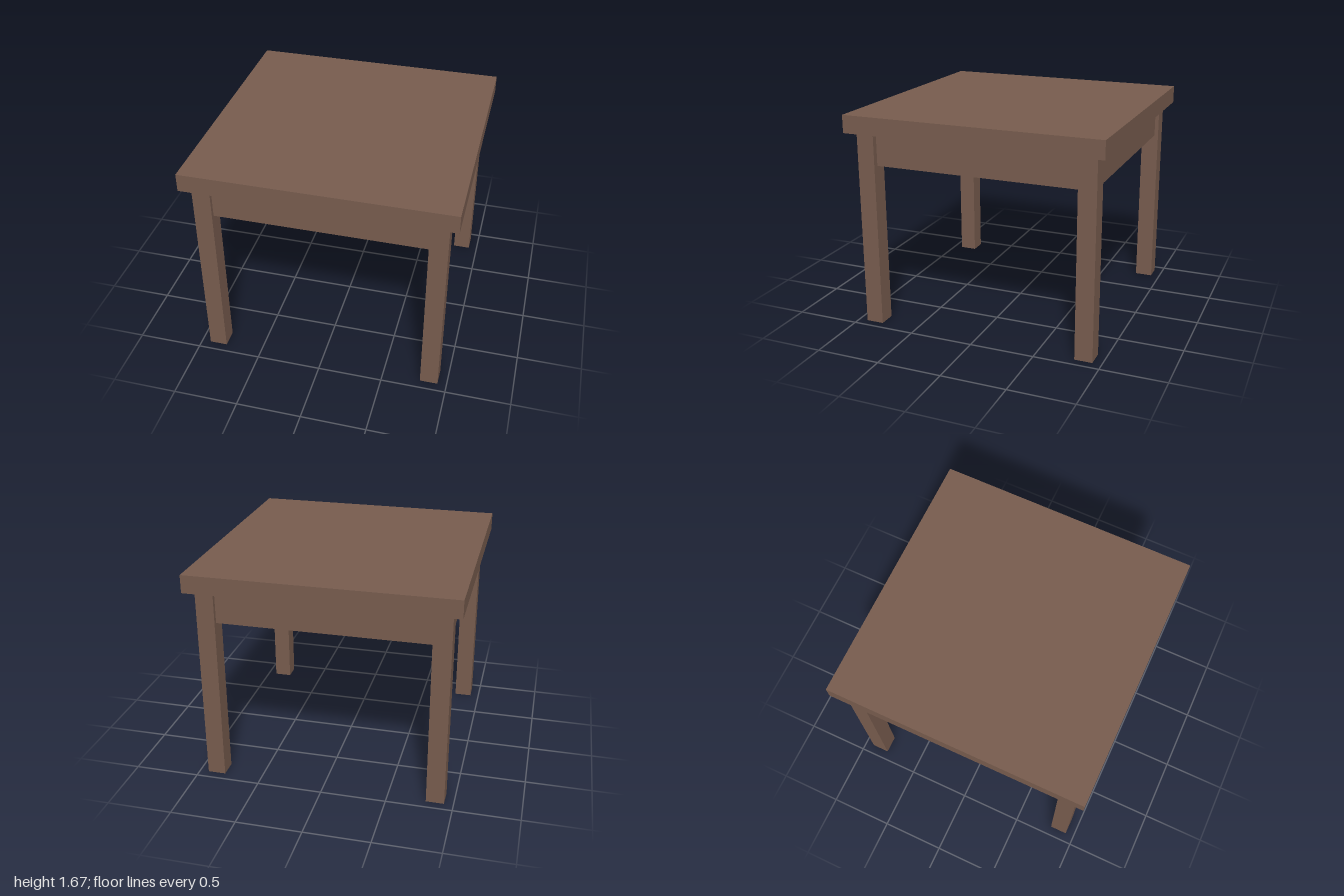
import * as THREE from 'three';

const TOP_Y = 1.667, UNDER_Y = 1.53, APRON_Y = 1.277;
const LEG_IN = 0.793, LEG_OUT = 0.93;
const APRON_IN = 0.815, APRON_OUT = 0.9;

export function createModel() {
  const table = new THREE.Group();
  table.name = 'table';
  const wood = new THREE.MeshStandardMaterial({ color: 0x765b4d });

  // Box given by its two opposite corners
  function box(name, [x0, y0, z0], [x1, y1, z1]) {
    const mesh = new THREE.Mesh(new THREE.BoxGeometry(x1 - x0, y1 - y0, z1 - z0), wood);
    mesh.position.set((x0 + x1) / 2, (y0 + y1) / 2, (z0 + z1) / 2);
    mesh.name = name;
    table.add(mesh);
    return mesh;
  }

  box('tabletop', [-1, UNDER_Y, -1], [1, TOP_Y, 1]);

  // Four square legs, set in from the corners
  for (const [sx, side] of [[1, 'Left'], [-1, 'Right']]) {
    for (const [sz, end] of [[1, 'front'], [-1, 'back']]) {
      const leg = box(`${end}${side}Leg`, [LEG_IN, 0, LEG_IN], [LEG_OUT, UNDER_Y, LEG_OUT]);
      leg.position.x *= sx;
      leg.position.z *= sz;
    }
  }

  // Front and back aprons meet the legs; side aprons stop just short of them
  for (const [s, end, side] of [[1, 'front', 'left'], [-1, 'back', 'right']]) {
    const long = box(`${end}Apron`, [-LEG_IN, APRON_Y, APRON_IN], [LEG_IN, UNDER_Y, APRON_OUT]);
    long.position.z *= s;
    const short = box(`${side}Apron`, [APRON_IN, APRON_Y, -0.785], [APRON_OUT, UNDER_Y, 0.785]);
    short.position.x *= s;
  }

  return table;
}
